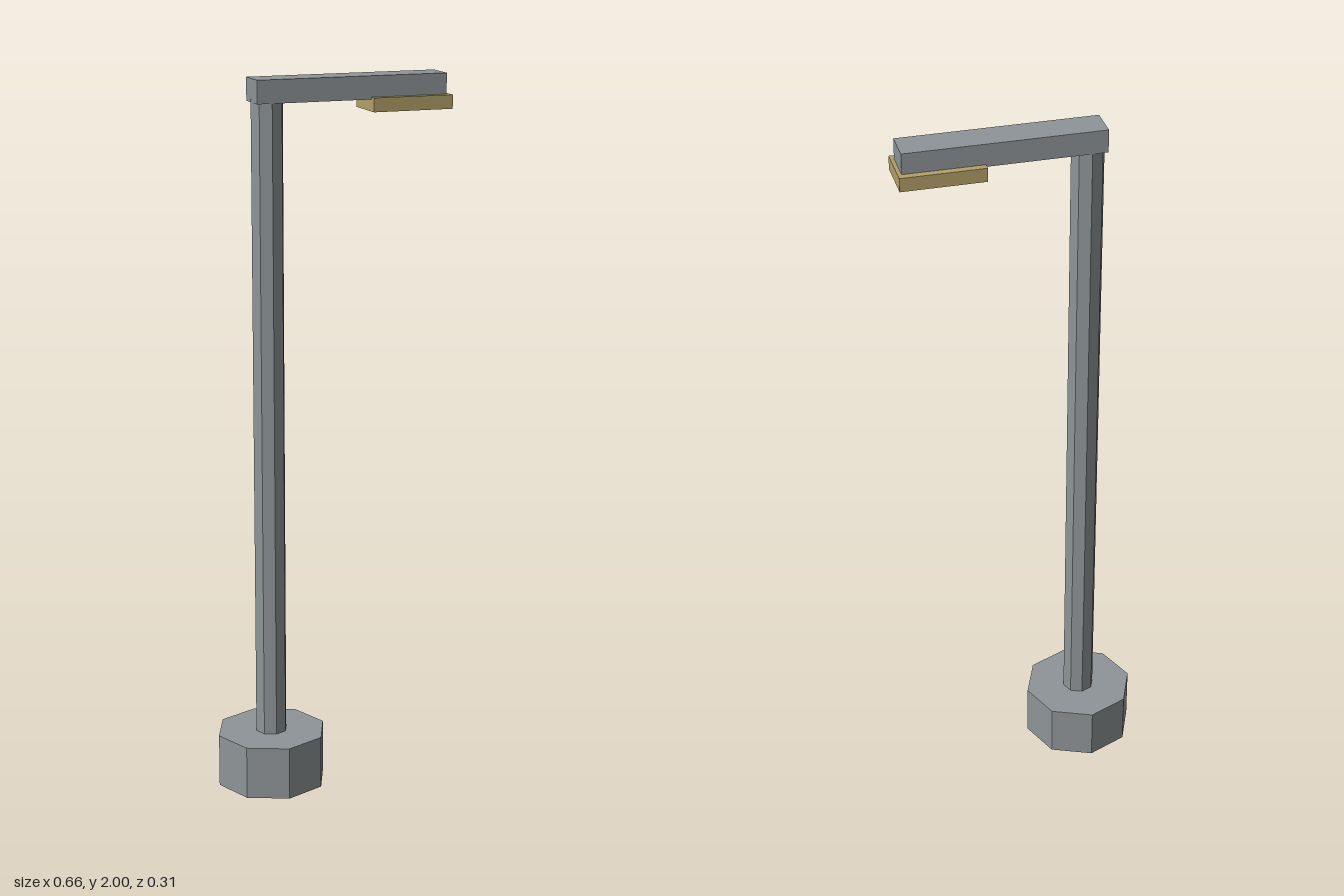
import * as THREE from 'three';

export function createModel() {
  const group = new THREE.Group();
  const metal = new THREE.MeshStandardMaterial({ color: 0x8e9497, flatShading: true });
  metal.name = 'grey metal';
  const glow = new THREE.MeshStandardMaterial({ color: 0xb39f68, flatShading: true });
  glow.name = 'warm lamp';

  const add = (name, geometry, material, x, y) => {
    const mesh = new THREE.Mesh(geometry, material);
    mesh.name = name;
    mesh.position.set(x, y, 0);
    group.add(mesh);
  };
  // Eight-sided upright between two heights
  const post = (name, radius, y0, y1) =>
    add(name, new THREE.CylinderGeometry(radius, radius, y1 - y0, 8), metal, -0.176, (y0 + y1) / 2);
  // Box between two corners, centred on z
  const bar = (name, material, x0, x1, y0, y1, depth) =>
    add(name, new THREE.BoxGeometry(x1 - x0, y1 - y0, depth), material, (x0 + x1) / 2, (y0 + y1) / 2);

  post('base', 0.157, 0, 0.151);
  post('pole', 0.045, 0.151, 1.945);
  bar('arm', metal, -0.218, 0.322, 1.937, 2, 0.091);
  bar('lampPanel', glow, 0.104, 0.332, 1.905, 1.943, 0.131);

  return group;
}
